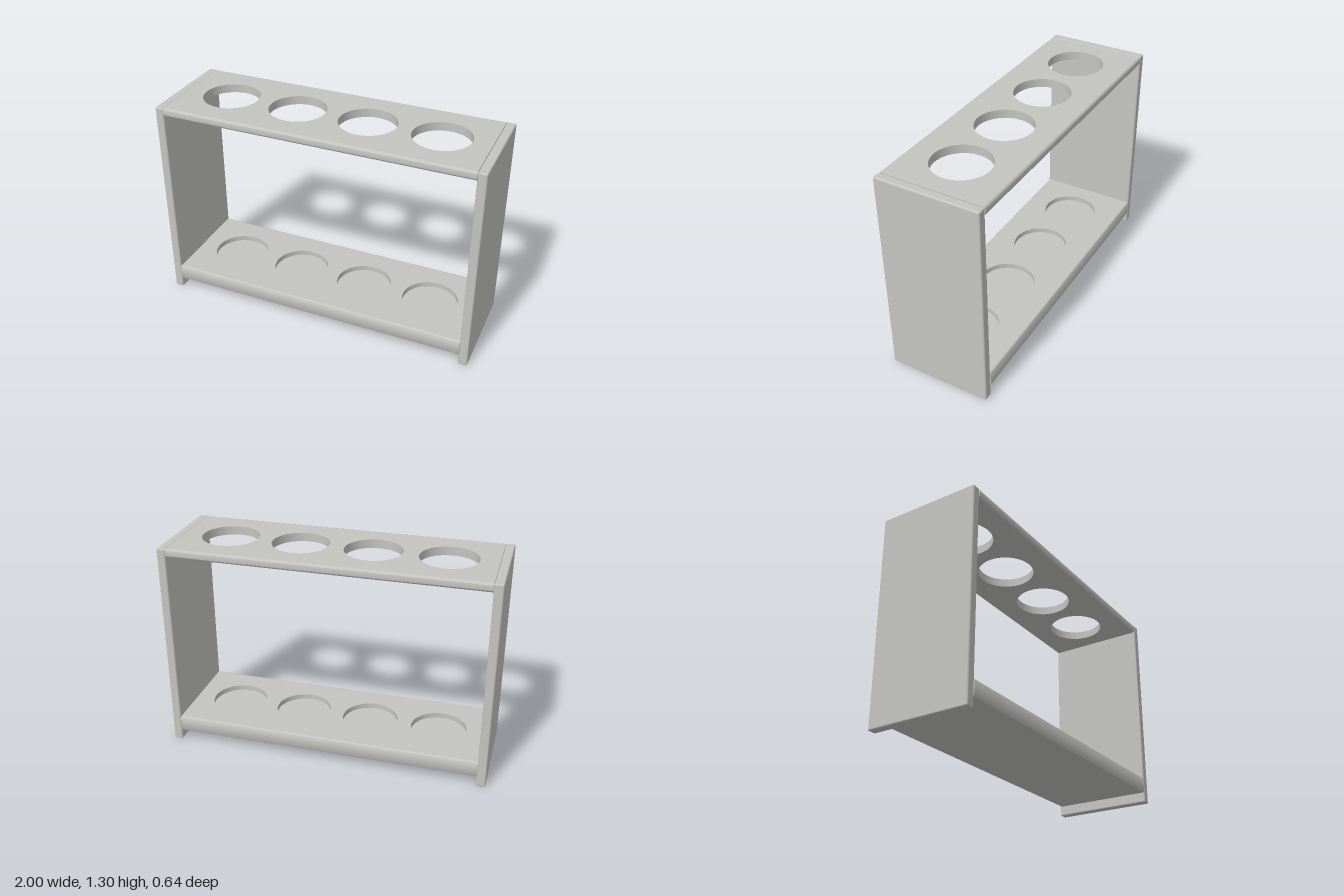
import * as THREE from 'three';
import { RoundedBoxGeometry } from 'three/addons/geometries/RoundedBoxGeometry.js';
import { toCreasedNormals } from 'three/addons/utils/BufferGeometryUtils.js';

const HALF_X = 0.945;   // inner face of the side panels
const HALF_Z = 0.318;
const ROUND = 0.015;    // rounding of the long edges
const HOLE_R = 0.173;
const HOLE_X = [-0.66, -0.22, 0.22, 0.66];

export function createModel() {
  const group = new THREE.Group();
  const grey = new THREE.MeshStandardMaterial({ color: 0xc4c4c0 });
  grey.name = 'warm grey';

  const add = (parent, name, geometry) => {
    const mesh = new THREE.Mesh(geometry, grey);
    mesh.name = name;
    parent.add(mesh);
    return mesh;
  };

  // Flat slab between two heights, optionally pierced by the row of holes
  const slab = (y0, y1, pierced) => {
    const w = HALF_X, d = HALF_Z - ROUND;
    const shape = new THREE.Shape([
      new THREE.Vector2(-w, -d), new THREE.Vector2(w, -d),
      new THREE.Vector2(w, d), new THREE.Vector2(-w, d),
    ]);
    if (pierced) {
      for (const x of HOLE_X) {
        shape.holes.push(new THREE.Path().absarc(x, 0, HOLE_R, 0, Math.PI * 2, true));
      }
    }
    const geo = new THREE.ExtrudeGeometry(shape, { depth: y1 - y0, bevelEnabled: false, curveSegments: 32 });
    geo.rotateX(-Math.PI / 2).translate(0, y0, 0);
    return toCreasedNormals(geo, 0.6);
  };

  // Rounded strip along the back edge of a shelf
  const edgeStrip = (y0, y1) => {
    const inner = HALF_Z - ROUND;
    const shape = new THREE.Shape();
    shape.moveTo(inner, y0);
    shape.absarc(inner, y0 + ROUND, ROUND, -Math.PI / 2, 0, false);
    shape.absarc(inner, y1 - ROUND, ROUND, 0, Math.PI / 2, false);
    const geo = new THREE.ExtrudeGeometry(shape, { depth: HALF_X * 2, bevelEnabled: false, curveSegments: 6 });
    geo.translate(0, 0, -HALF_X).rotateY(Math.PI / 2);
    return toCreasedNormals(geo, 0.6);
  };

  const shelf = (name, y0, y1) => {
    const part = new THREE.Group();
    part.name = name;
    group.add(part);
    add(part, name + 'BackEdge', edgeStrip(y0, y1));
    add(part, name + 'FrontEdge', edgeStrip(y0, y1)).rotation.y = Math.PI;
    return part;
  };

  // Side panels
  for (const [name, side] of [['leftPanel', 1], ['rightPanel', -1]]) {
    add(group, name, new RoundedBoxGeometry(0.055, 1.3, HALF_Z * 2, 3, 0.01))
      .position.set(side * 0.9725, 0.65, 0);
  }

  // Top shelf with through holes
  add(shelf('topShelf', 1.247, 1.3), 'topPlate', slab(1.247, 1.3, true));

  // Thick bottom shelf with shallow round pockets
  const bottom = shelf('bottomShelf', 0.065, 0.165);
  add(bottom, 'pocketPlate', slab(0.132, 0.165, true));
  add(bottom, 'basePlate', slab(0.065, 0.132, false));

  return group;
}
